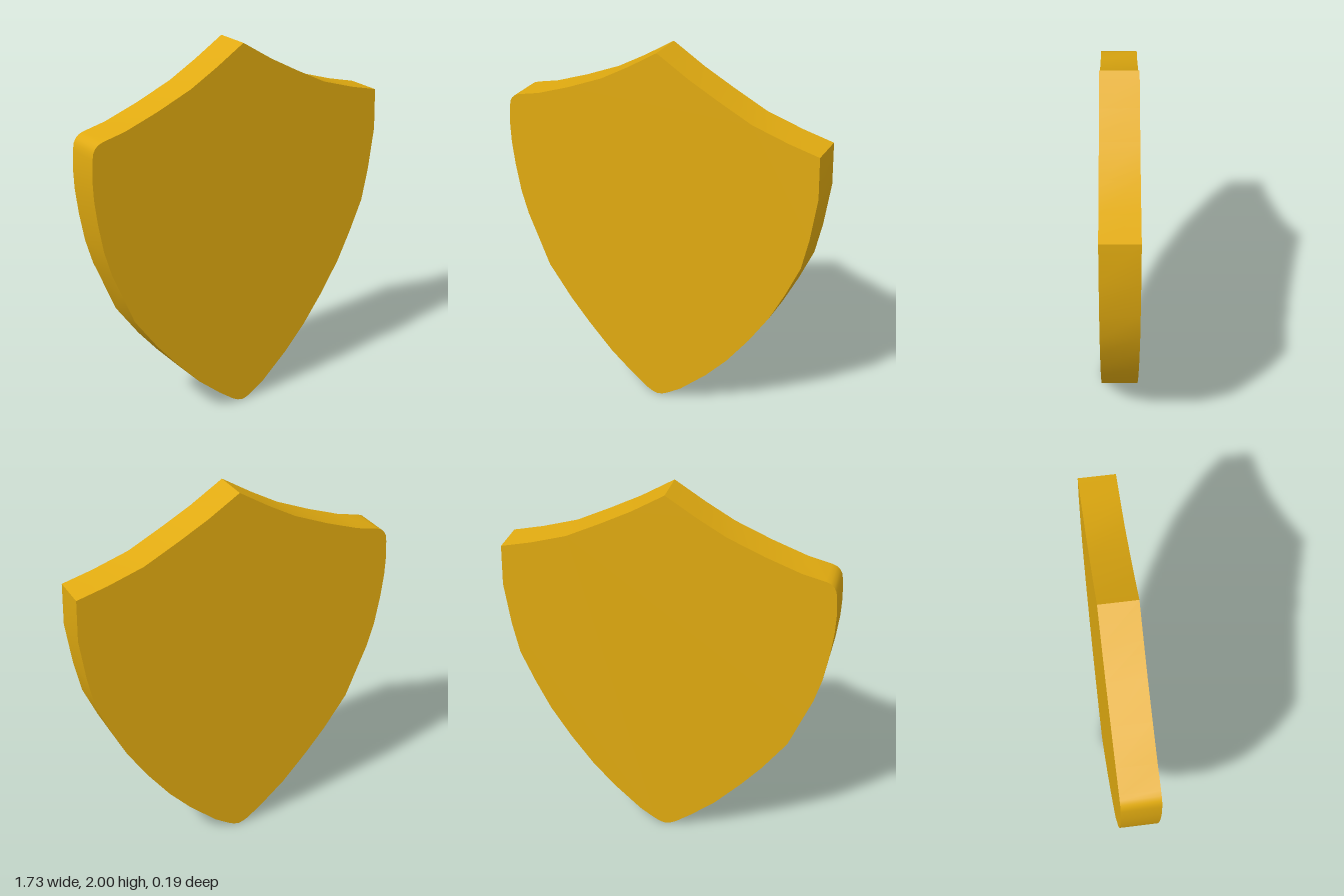
import * as THREE from 'three';
import { toCreasedNormals } from 'three/addons/utils/BufferGeometryUtils.js';

const THICKNESS = 0.194;

// Outline runs counter-clockwise from the bottom tip
const rightEdge = [
  [0, 0], [0.03, 0.008], [0.06, 0.023], [0.14, 0.075], [0.29, 0.21], [0.41, 0.34], [0.53, 0.5],
  [0.64, 0.67], [0.72, 0.83], [0.795, 1.0], [0.832, 1.17], [0.865, 1.4], [0.86, 1.62],
];
const topEdge = [
  [0.7, 1.66], [0.51, 1.72], [0.33, 1.81], [0.17, 1.895], [0, 2],
  [-0.16, 1.9], [-0.31, 1.815], [-0.5, 1.735], [-0.68, 1.67],
];
// Rounded shoulder, on the -x side only
const shoulder = [
  [-0.8, 1.642], [-0.825, 1.632], [-0.843, 1.616], [-0.854, 1.595], [-0.86, 1.56],
];
const leftEdge = [
  [-0.865, 1.46], [-0.861, 1.36], [-0.845, 1.23], [-0.818, 1.08], [-0.78, 0.95], [-0.73, 0.83],
  [-0.66, 0.66], [-0.53, 0.48], [-0.42, 0.35], [-0.28, 0.2], [-0.15, 0.09], [-0.06, 0.023], [-0.03, 0.008],
];

export function createModel() {
  const outline = [...rightEdge, ...topEdge, ...shoulder, ...leftEdge];
  const shape = new THREE.Shape(outline.map(([x, y]) => new THREE.Vector2(x, y)));

  // Flat plate with a smooth rim and sharp corners
  const plate = new THREE.ExtrudeGeometry(shape, { depth: THICKNESS, bevelEnabled: false });
  plate.translate(0, 0, -THICKNESS / 2);

  const shield = new THREE.Mesh(
    toCreasedNormals(plate, 0.7),
    new THREE.MeshStandardMaterial({ color: 0xe0aa10 }),
  );
  shield.name = 'shieldPlate';

  const group = new THREE.Group();
  group.name = 'shield';
  group.add(shield);
  return group;
}
